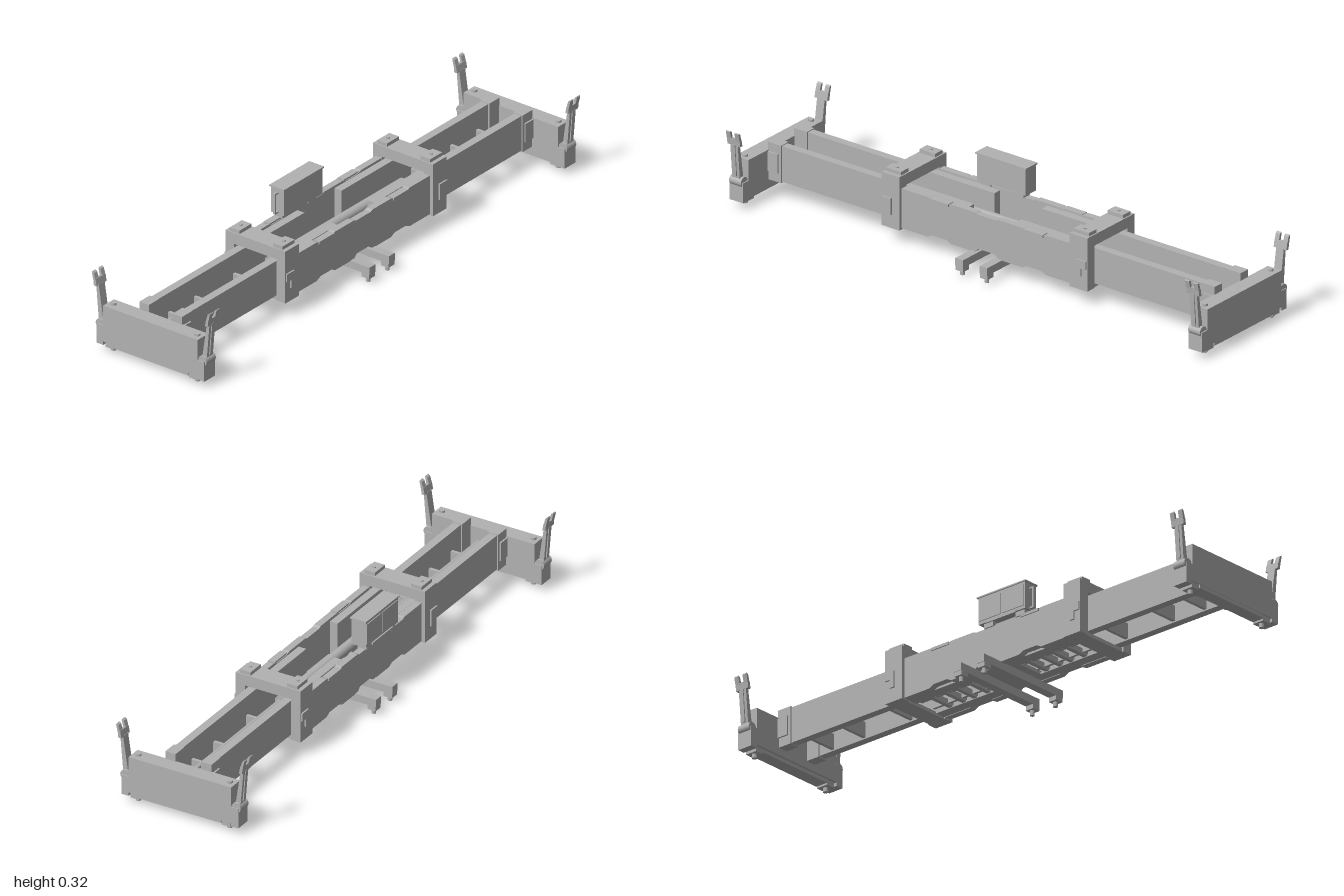
import * as THREE from 'three';

const steel = new THREE.MeshStandardMaterial({ color: 0xb2b2b2 });
steel.name = 'steelGrey';

export function createModel() {
  const model = new THREE.Group();
  model.name = 'containerSpreader';

  const add = (name, geometry, parent = model) => {
    const mesh = new THREE.Mesh(geometry, steel);
    mesh.name = name;
    parent.add(mesh);
    return mesh;
  };
  // Box from its limits on each axis
  const box = (name, x0, x1, y0, y1, z0, z1, parent = model) => {
    const m = add(name, new THREE.BoxGeometry(Math.abs(x1 - x0), Math.abs(y1 - y0), Math.abs(z1 - z0)), parent);
    m.position.set((x0 + x1) / 2, (y0 + y1) / 2, (z0 + z1) / 2);
    return m;
  };
  const rod = (name, axis, r, length, x, y, z, sides = 16) => {
    const g = new THREE.CylinderGeometry(r, r, length, sides);
    if (axis === 'x') g.rotateZ(Math.PI / 2);
    if (axis === 'z') g.rotateX(Math.PI / 2);
    const m = add(name, g);
    m.position.set(x, y, z);
    return m;
  };
  // Extruded outline given as [u, v] points
  const slab = (points, depth) => new THREE.ExtrudeGeometry(
    new THREE.Shape(points.map(p => new THREE.Vector2(...p))), { depth, bevelEnabled: false });

  // Centre side beams with shallow notches along both edges
  const half = [[0.41, 0.06], [0.41, 0.205], [0.25, 0.205], [0.23, 0.198], [0.17, 0.198], [0.15, 0.205],
    [0.05, 0.205], [0.04, 0.2]];
  const lower = [[0.035, 0.075], [0.05, 0.06], [0.15, 0.06], [0.17, 0.07], [0.23, 0.07], [0.25, 0.06]];
  const right = [...lower, ...half];
  const outline = [...right, ...right.map(([x, y]) => [-x, y]).reverse()];
  for (const s of [-1, 1]) {
    const beam = add('centreBeam', slab(outline, 0.025));
    beam.position.z = s > 0 ? 0.09 : -0.115;
    for (const e of [-1, 1]) {
      box('beamTopPlate', e * 0.16, e * 0.24, 0.194, 0.204, s * 0.093, s * 0.119);
      box('lowerRunner', e * 0.1, e * 0.41, 0.062, 0.069, s * 0.05, s * 0.09);
      // Telescopic beams and their stepped end sockets
      box('telescopicBeam', e * 0.1, e * 0.945, 0.07, 0.2, s * 0.055, s * 0.085);
      box('endSocket', e * 0.89, e * 0.945, 0.066, 0.203, s * 0.05, s * 0.09);
      box('socketRib', e * 0.9, e * 0.945, 0.1, 0.17, s * 0.088, s * 0.096);
      box('innerRail', e * 0.1, e * 0.36, 0.07, 0.085, s * 0.027, s * 0.037);
    }
  }
  box('centreFloor', -0.1, 0.1, 0.062, 0.075, -0.09, 0.09);

  // Drive tube and rods along the centre line
  rod('driveTube', 'x', 0.019, 0.72, 0, 0.14, 0);
  rod('driveRod', 'x', 0.008, 1.82, 0, 0.14, 0);

  for (const e of [-1, 1]) {
    // Ladder cross members between the beams
    for (const x of [0.13, 0.19, 0.24, 0.3])
      box('centreCrossMember', e * (x - 0.008), e * (x + 0.008), 0.064, 0.085, -0.09, 0.09);
    for (const x of [0.48, 0.69, 0.83])
      box('ladderRung', e * (x - 0.006), e * (x + 0.006), 0.075, 0.13, -0.056, 0.056);

    // Collar framing the telescopic beams
    box('collarTop', e * 0.36, e * 0.435, 0.21, 0.25, -0.127, 0.127);
    box('collarBase', e * 0.365, e * 0.43, 0.055, 0.068, -0.12, 0.12);
    for (const s of [-1, 1]) {
      box('collarLeg', e * 0.36, e * 0.435, 0.055, 0.21, s * 0.089, s * 0.127);
      box('collarPad', e * 0.365, e * 0.43, 0.25, 0.263, s * 0.071, s * 0.112);
      rod('padBolt', 'y', 0.006, 0.005, e * 0.397, 0.265, s * 0.092, 8);
      box('collarBracket', e * 0.392, e * 0.432, 0.135, 0.165, s * 0.127, s * 0.133);
      box('collarBracketFoot', e * 0.392, e * 0.41, 0.105, 0.135, s * 0.127, s * 0.133);
    }

    // End beam with its lower flange
    box('endBeam', e * 0.942, e * 1, 0.04, 0.175, -0.2, 0.2);
    box('endBeamFlange', e * 0.95, e * 0.998, 0.027, 0.04, -0.16, 0.16);

    for (const s of [-1, 1]) {
      box('lockHousing', e * 0.95, e * 0.995, 0.02, 0.042, s * 0.16, s * 0.195);
      rod('lockPin', 'y', 0.009, 0.018, e * 0.972, 0.014, s * 0.178, 10);
      rod('lockCap', 'y', 0.01, 0.008, e * 0.972, 0.179, s * 0.178, 12);
      box('cornerBlock', e * 0.942, e * 1, 0.027, 0.1, s * 0.2, s * 0.228);
      rod('flipperPivot', 'x', 0.018, 0.05, e * 0.971, 0.1, s * 0.217, 20);

      // Guide flipper: leaning stem with a forked flared head
      const flipper = new THREE.Group();
      flipper.name = 'guideFlipper';
      const extrude = (name, points, x0, x1) => {
        const g = slab(points, x1 - x0);
        g.rotateY(-Math.PI / 2); // outline u becomes z, depth runs along -x
        add(name, g, flipper).position.x = x1;
      };
      extrude('flipperStem', [[0.208, 0.1], [0.228, 0.1], [0.24, 0.24], [0.229, 0.24]], -0.016, 0.016);
      extrude('flipperRib', [[0.228, 0.12], [0.234, 0.12], [0.243, 0.24], [0.239, 0.24]], -0.005, 0.005);
      extrude('flipperHead', [[0.229, 0.236], [0.241, 0.236], [0.244, 0.262], [0.234, 0.262]], -0.027, 0.027);
      for (const [a, b] of [[-0.027, -0.009], [0.009, 0.027]])
        extrude('flipperProng', [[0.234, 0.258], [0.244, 0.258], [0.25, 0.285], [0.248, 0.288], [0.241, 0.283]], a, b);
      flipper.position.x = e * 0.971;
      if (s < 0) flipper.rotation.y = Math.PI;
      model.add(flipper);
    }
  }

  // Twin cross arms under the centre, with a lock at each tip
  for (const x of [-0.053, 0.05]) {
    box('crossArm', x - 0.016, x + 0.016, 0.034, 0.062, -0.197, 0.197);
    for (const s of [-1, 1]) {
      box('armLockHousing', x - 0.016, x + 0.016, 0.018, 0.036, s * 0.163, s * 0.195);
      rod('armLockPin', 'y', 0.008, 0.018, x, 0.009, s * 0.178, 10);
    }
  }

  // Control cabinet on the rear beam
  box('cabinet', -0.188, 0.018, 0.217, 0.315, -0.127, -0.072);
  box('cabinetLid', -0.193, 0.023, 0.314, 0.319, -0.131, -0.068);
  for (const x of [-0.16, -0.02])
    box('cabinetFoot', x - 0.02, x + 0.02, 0.2, 0.218, -0.12, -0.085);
  box('cabinetLatch', -0.15, -0.02, 0.212, 0.22, -0.132, -0.127);
  for (const x of [-0.183, -0.08])
    box('cabinetDoor', x, x + 0.095, 0.228, 0.305, -0.13, -0.127);
  box('cabinetHandleBar', -0.206, -0.2, 0.222, 0.3, -0.104, -0.096);
  for (const y of [0.222, 0.294])
    box('cabinetHandleArm', -0.206, -0.188, y, y + 0.006, -0.104, -0.096);

  return model;
}
